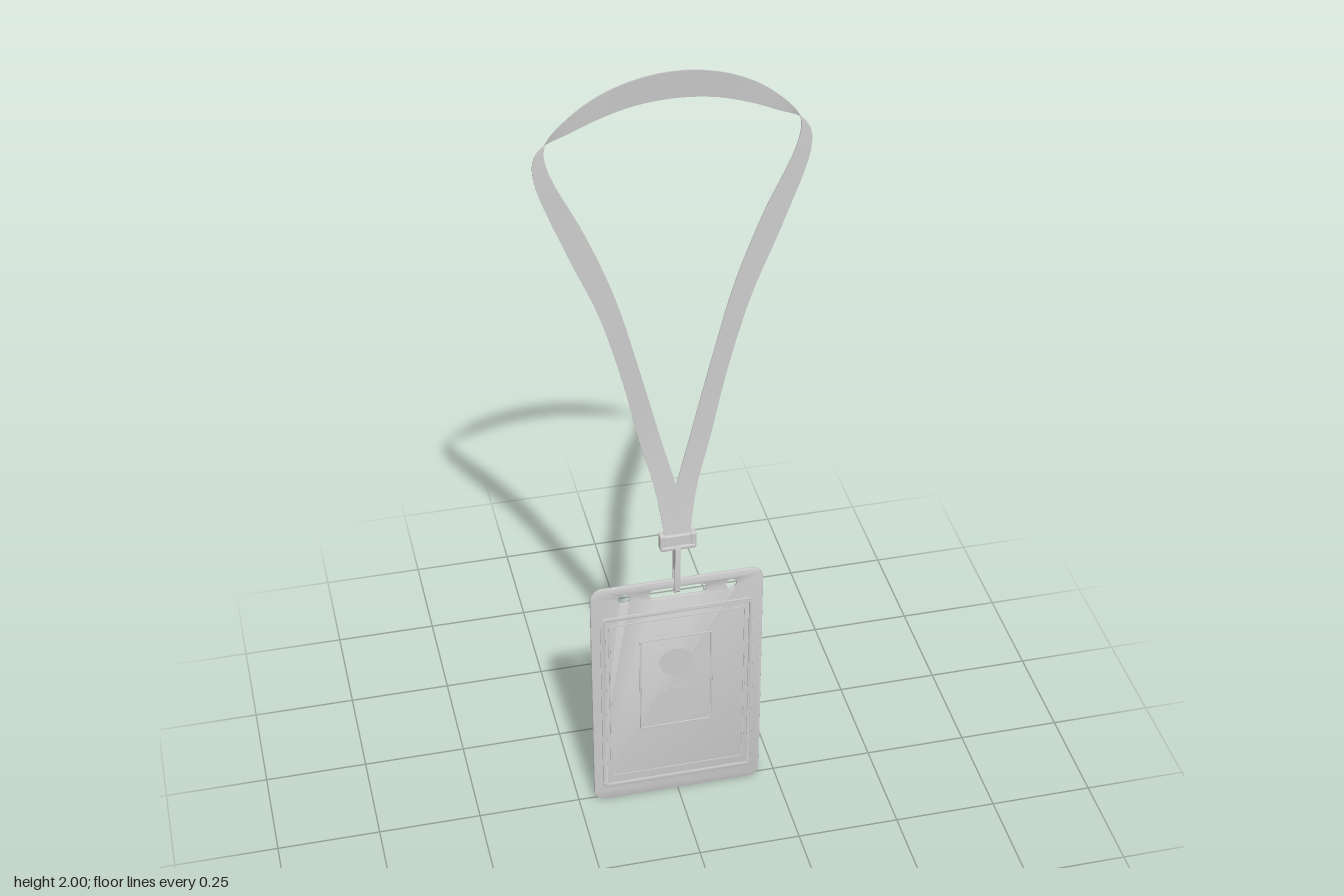
import * as THREE from 'three';
import { RoundedBoxGeometry } from 'three/addons/geometries/RoundedBoxGeometry.js';
import { toCreasedNormals } from 'three/addons/utils/BufferGeometryUtils.js';

const grey = new THREE.MeshStandardMaterial({ color: 0xcccccc });
const greyBoth = new THREE.MeshStandardMaterial({ color: 0xcccccc, side: THREE.DoubleSide });

// Rounded rectangle drawn into a Shape or Path
function roundRect(path, x0, y0, x1, y1, r) {
  path.absarc(x1 - r, y0 + r, r, -Math.PI / 2, 0);
  path.absarc(x1 - r, y1 - r, r, 0, Math.PI / 2);
  path.absarc(x0 + r, y1 - r, r, Math.PI / 2, Math.PI);
  path.absarc(x0 + r, y0 + r, r, Math.PI, Math.PI * 1.5);
  path.closePath();
  return path;
}

// Extrude a shape between two z planes, with an optional small bevel
function slab(name, shape, z0, z1, bevel = 0) {
  const geo = new THREE.ExtrudeGeometry(shape, {
    depth: z1 - z0 - 2 * bevel, curveSegments: 10, bevelEnabled: bevel > 0,
    bevelSize: bevel, bevelOffset: -bevel, bevelThickness: bevel, bevelSegments: 2,
  });
  geo.translate(0, 0, z0 + bevel);
  const mesh = new THREE.Mesh(toCreasedNormals(geo, 0.6), grey);
  mesh.name = name;
  return mesh;
}

// Rectangular rim of constant width
function rim(name, x0, y0, x1, y1, r, w, z0, z1) {
  const shape = roundRect(new THREE.Shape(), x0, y0, x1, y1, r);
  shape.holes.push(roundRect(new THREE.Path(), x0 + w, y0 + w, x1 - w, y1 - w, Math.max(r - w, 0.003)));
  return slab(name, shape, z0, z1, 0.0012);
}

// Ribbon loop: two edge curves that swap sides at the shoulder twists
function strap() {
  // half profile from the neck centre down to the clamp: x, y, z
  const edgeA = [[0, 2, -0.016], [0.09, 1.988, -0.017], [0.17, 1.955, -0.02], [0.23, 1.91, -0.024],
    [0.272, 1.862, -0.028], [0.28, 1.83, -0.029], [0.268, 1.775, -0.027], [0.2, 1.63, -0.022],
    [0.135, 1.46, -0.016], [0.082, 1.26, -0.014], [0.038, 1.08, -0.012], [0, 0.93, -0.006], [-0.03, 0.79, 0.006]];
  const edgeB = [[0, 1.934, -0.021], [0.09, 1.925, -0.022], [0.17, 1.9, -0.024], [0.23, 1.873, -0.027],
    [0.278, 1.85, -0.031], [0.302, 1.818, -0.032], [0.303, 1.765, -0.03], [0.24, 1.585, -0.024],
    [0.173, 1.42, -0.017], [0.12, 1.23, -0.015], [0.083, 1.06, -0.013], [0.049, 0.92, -0.007], [0.03, 0.79, 0.005]];
  const full = (half) => {
    const left = half.slice(1).reverse().map(([x, y, z]) => [-x, y, y < 1 ? z + 0.004 : z]);
    return new THREE.CatmullRomCurve3([...left, ...half].map((p) => new THREE.Vector3(...p)), false, 'centripetal');
  };
  const a = full(edgeA), b = full(edgeB), n = 160, t = 0.0015;
  const pos = [], idx = [];
  for (let i = 0; i <= n; i++) {
    const p = a.getPoint(i / n), q = b.getPoint(i / n);
    pos.push(p.x, p.y, p.z + t, q.x, q.y, q.z + t, q.x, q.y, q.z - t, p.x, p.y, p.z - t);
    if (i === n) break;
    for (let k = 0; k < 4; k++) {
      const c = i * 4 + k, d = i * 4 + ((k + 1) % 4);
      idx.push(c, d, c + 4, d, d + 4, c + 4);
    }
  }
  const geo = new THREE.BufferGeometry();
  geo.setAttribute('position', new THREE.Float32BufferAttribute(pos, 3));
  geo.setIndex(idx);
  const mesh = new THREE.Mesh(toCreasedNormals(geo, 0.7), greyBoth);
  mesh.name = 'neckStrap';
  return mesh;
}

// Clamp that gathers both strap ends, with the loop that carries the badge
function clip() {
  const group = new THREE.Group();
  group.name = 'clip';
  const box = (name, w, h, d, x, y, z) => {
    const mesh = new THREE.Mesh(new RoundedBoxGeometry(w, h, d, 2, 0.004), grey);
    mesh.position.set(x, y, z);
    mesh.name = name;
    group.add(mesh);
  };
  box('clampBody', 0.07, 0.036, 0.02, 0, 0.785, 0.007);
  for (const s of [-1, 1]) box('clampEnd', 0.014, 0.042, 0.022, s * 0.037, 0.785, 0.008);
  box('clampLip', 0.084, 0.012, 0.024, 0, 0.768, 0.009);

  // loop outline, drawn with its depth along x and then turned sideways
  const outline = new THREE.Shape([[-0.003, 0.775], [-0.002, 0.638], [0.002, 0.633], [0.016, 0.633],
    [0.02, 0.638], [0.028, 0.765], [0.024, 0.775]].map((p) => new THREE.Vector2(...p)));
  outline.holes.push(new THREE.Path([[0.002, 0.7], [0.018, 0.7], [0.0155, 0.641], [0.002, 0.641]]
    .map((p) => new THREE.Vector2(...p))));
  const loop = slab('badgeLoop', outline, -0.0065, 0.0065);
  loop.rotation.y = -Math.PI / 2;
  loop.position.x = -0.003;
  group.add(loop);
  return group;
}

function badge() {
  const group = new THREE.Group();
  group.name = 'badgeHolder';

  // Holder plate with the hanging slot and two round holes
  const plate = roundRect(new THREE.Shape(), -0.212, 0, 0.209, 0.668, 0.03);
  plate.holes.push(roundRect(new THREE.Path(), -0.07, 0.617, 0.07, 0.645, 0.0135));
  for (const s of [-1, 1]) plate.holes.push(new THREE.Path().absarc(s * 0.13, 0.63, 0.014, 0, Math.PI * 2));
  group.add(slab('plate', plate, 0.004, 0.0125, 0.002));

  // Raised rims of the pocket, front and back
  group.add(rim('frontPocketRim', -0.19, 0.04, 0.187, 0.582, 0.016, 0.012, 0.011, 0.0155));
  group.add(rim('frontWindowRim', -0.17, 0.073, 0.167, 0.556, 0.006, 0.004, 0.011, 0.0138));
  group.add(rim('backPocketRim', -0.19, 0.04, 0.187, 0.582, 0.016, 0.014, 0.001, 0.0055));
  group.add(rim('backWindowRim', -0.165, 0.068, 0.162, 0.556, 0.006, 0.007, 0.002, 0.0055));

  // Embossed portrait panel on each face
  const head = new THREE.Shape().absarc(-0.004, 0.415, 0.042, 0, Math.PI * 2);
  const shoulders = new THREE.Shape();
  shoulders.moveTo(-0.072, 0.235);
  shoulders.lineTo(0.064, 0.235);
  shoulders.bezierCurveTo(0.064, 0.37, -0.072, 0.37, -0.072, 0.235);
  for (const [side, z0, z1] of [['front', 0.0115, 0.0134], ['back', 0.0031, 0.005]]) {
    group.add(rim(side + 'PhotoRim', -0.095, 0.215, 0.086, 0.495, 0.004, 0.005, z0 - 0.0006, z1 + 0.0006));
    group.add(slab(side + 'PortraitHead', head, z0, z1));
    group.add(slab(side + 'PortraitShoulders', shoulders, z0, z1));
  }
  return group;
}

export function createModel() {
  const model = new THREE.Group();
  model.name = 'lanyardBadge';
  model.add(strap(), clip(), badge());
  return model;
}
